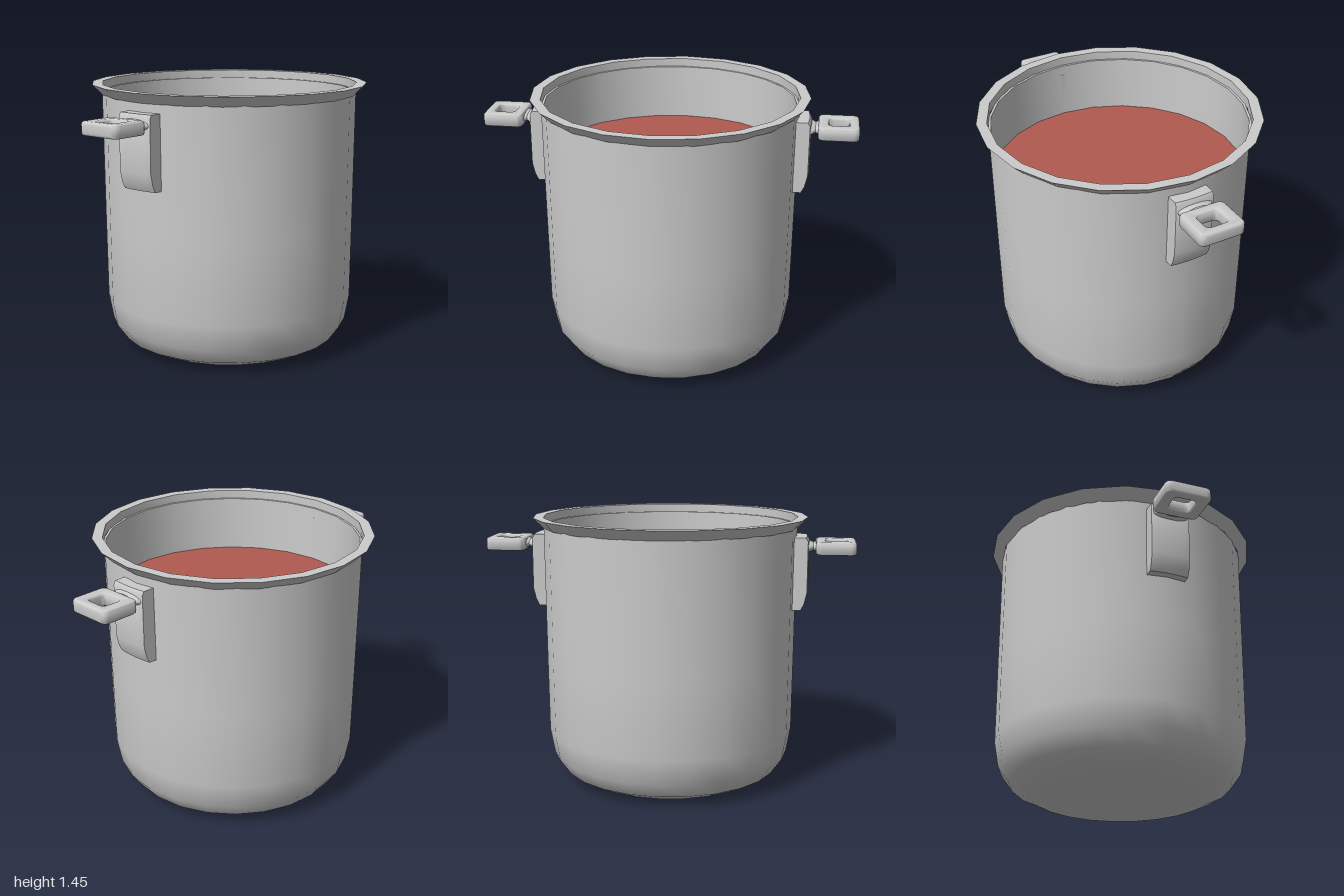
import * as THREE from 'three';
import { toCreasedNormals } from 'three/addons/utils/BufferGeometryUtils.js';

const steel = new THREE.MeshStandardMaterial({ color: 0xcccccc, side: THREE.DoubleSide });
const red = new THREE.MeshStandardMaterial({ color: 0xb05a50 });

function add(parent, name, geometry, material = steel) {
  const mesh = new THREE.Mesh(geometry, material);
  mesh.name = name;
  parent.add(mesh);
  return mesh;
}

function lathe(points, segments, crease) {
  const g = new THREE.LatheGeometry(points.map(([x, y]) => new THREE.Vector2(x, y)), segments);
  return toCreasedNormals(g, crease);
}

// Rounded rectangle centred on (cx, 0)
function roundedRect(target, cx, w, h, r) {
  const x = w / 2, y = h / 2;
  target.moveTo(cx - x + r, -y);
  target.lineTo(cx + x - r, -y);
  target.quadraticCurveTo(cx + x, -y, cx + x, -y + r);
  target.lineTo(cx + x, y - r);
  target.quadraticCurveTo(cx + x, y, cx + x - r, y);
  target.lineTo(cx - x + r, y);
  target.quadraticCurveTo(cx - x, y, cx - x, y - r);
  target.lineTo(cx - x, -y + r);
  target.quadraticCurveTo(cx - x, -y, cx - x + r, -y);
  return target;
}

// Mounting plate: side profile extruded across z, then bent around the pot
function bracketGeometry() {
  const profile = new THREE.Shape([
    [0.67, 0.965], [0.72, 0.965], [0.738, 1.0], [0.752, 1.06],
    [0.752, 1.335], [0.74, 1.355], [0.67, 1.355],
  ].map(([x, y]) => new THREE.Vector2(x, y)));
  const g = new THREE.ExtrudeGeometry(profile, { depth: 0.21, steps: 6, bevelEnabled: false });
  g.translate(0, 0, -0.105);
  const p = g.attributes.position;
  for (let i = 0; i < p.count; i++) {
    const z = p.getZ(i);
    p.setX(i, p.getX(i) - (0.7 - Math.sqrt(0.49 - z * z)));
  }
  return toCreasedNormals(g, 0.6);
}

// Flat grip loop with a rounded rectangular hole
function gripGeometry() {
  const b = 0.014;
  const shape = roundedRect(new THREE.Shape(), 0.893, 0.214 - 2 * b, 0.25 - 2 * b, 0.02);
  shape.holes.push(roundedRect(new THREE.Path(), 0.895, 0.105 + 2 * b, 0.12 + 2 * b, 0.04));
  const g = new THREE.ExtrudeGeometry(shape, {
    depth: 0.07 - 2 * b, bevelThickness: b, bevelSize: b, bevelSegments: 3, curveSegments: 5,
  });
  g.rotateX(-Math.PI / 2).translate(0, 1.265 + b, 0);
  return toCreasedNormals(g, 0.9);
}

// Waisted neck between plate and grip
function neckGeometry() {
  const g = lathe([[0, 0.735], [0.1, 0.735], [0.095, 0.75], [0.068, 0.772], [0.085, 0.792], [0, 0.792]], 16, 0.6);
  return g.rotateZ(-Math.PI / 2).scale(1, 0.33, 1).translate(0, 1.3, 0);
}

export function createModel() {
  const group = new THREE.Group();
  group.name = 'cookingPot';

  // Thin-walled pot with a rounded base
  add(group, 'potBody', lathe([
    [0, 0.003], [0.42, 0.003], [0.5, 0.015], [0.592, 0.06], [0.652, 0.145], [0.676, 0.28],
    [0.68, 0.7], [0.685, 1.41], [0.672, 1.41], [0.668, 0.9], [0.665, 0.28],
    [0.64, 0.155], [0.58, 0.075], [0.48, 0.03], [0, 0.03],
  ], 24, 0.7));

  // Flared rim
  add(group, 'rim', lathe([
    [0.688, 1.4], [0.743, 1.455], [0.688, 1.455], [0.688, 1.4],
  ], 20, 0.6));

  // Contents
  const liquid = new THREE.CircleGeometry(0.67, 24);
  liquid.rotateX(-Math.PI / 2).translate(0, 1.11, 0);
  add(group, 'liquid', liquid, red);

  // One handle on each side
  for (const side of [0, 1]) {
    const handle = new THREE.Group();
    handle.name = side ? 'rightHandle' : 'leftHandle';
    handle.rotation.y = side * Math.PI;
    add(handle, 'bracket', bracketGeometry());
    add(handle, 'neck', neckGeometry());
    add(handle, 'grip', gripGeometry());
    group.add(handle);
  }
  return group;
}
